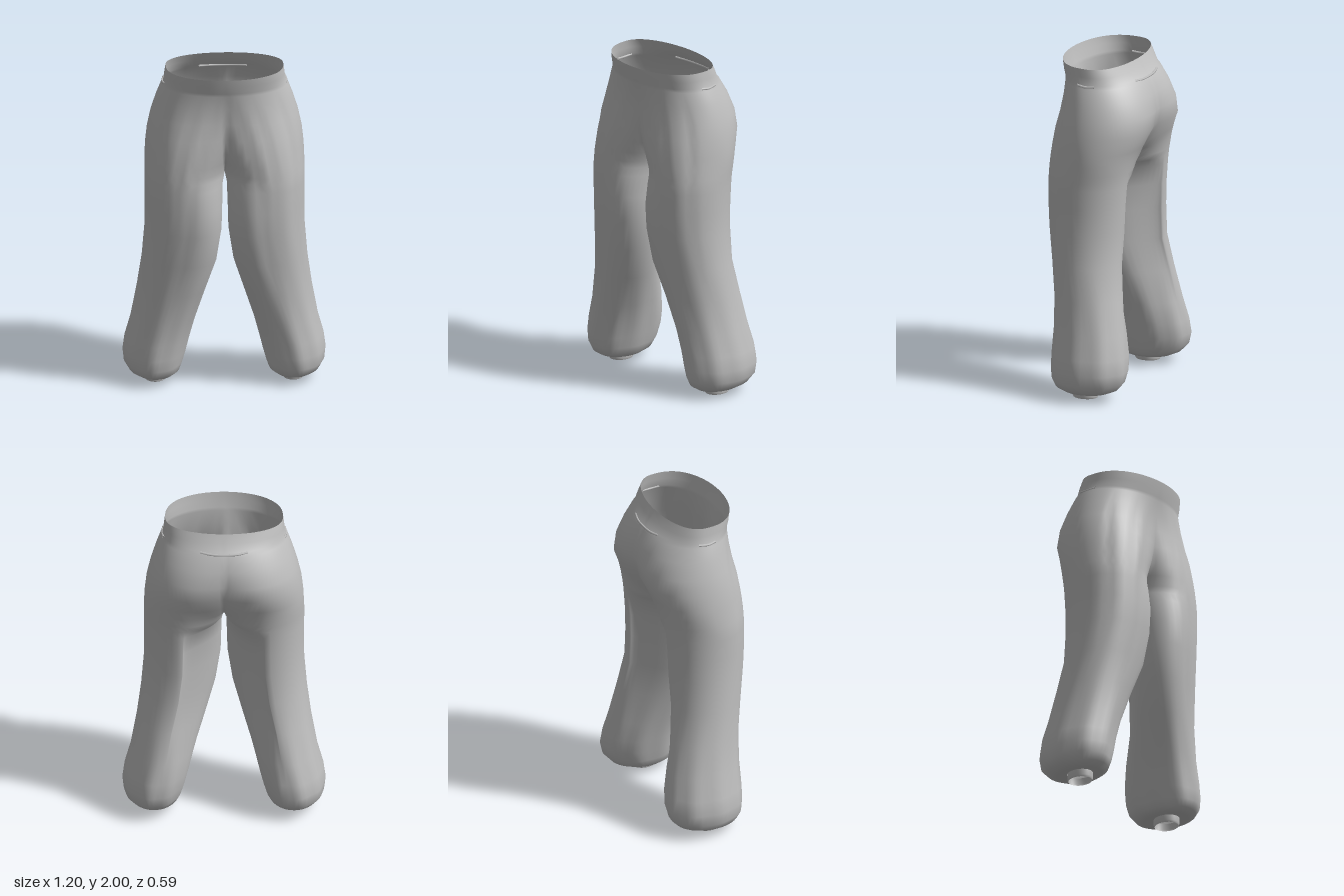
import * as THREE from 'three';
import { mergeVertices } from 'three/addons/utils/BufferGeometryUtils.js';

const SEGMENTS = 44;

// Cross-sections: [y, outer x, inner x, front z, back z, z of widest point].
// A negative inner x means that the two halves overlap and meet on the centre seam.
const BODY = [
  [2.0, 0.347, -0.347, 0.285, -0.155, 0.03],
  [1.95, 0.354, -0.35, 0.275, -0.18, 0.02],
  [1.905, 0.36, -0.345, 0.263, -0.212, 0.02],
  [1.885, 0.374, -0.33, 0.257, -0.232, 0.02],
  [1.8, 0.405, -0.24, 0.25, -0.27, 0.01],
  [1.7, 0.435, -0.17, 0.256, -0.295, 0],
  [1.6, 0.456, -0.11, 0.274, -0.29, 0],
  [1.5, 0.467, -0.06, 0.285, -0.246, 0],
  [1.43, 0.47, -0.025, 0.29, -0.224, 0.01],
  [1.37, 0.472, -0.006, 0.292, -0.212, 0.03],
  [1.33, 0.472, 0, 0.293, -0.205, 0.04],
  [1.28, 0.472, 0.012, 0.294, -0.198, 0.05],
  [1.15, 0.47, 0.016, 0.294, -0.188, 0.05],
  [1.0, 0.472, 0.02, 0.285, -0.183, 0.05],
  [0.8, 0.488, 0.05, 0.255, -0.178, 0.04],
  [0.6, 0.515, 0.11, 0.225, -0.208, 0],
  [0.4, 0.55, 0.17, 0.21, -0.245, -0.02],
  [0.27, 0.585, 0.203, 0.207, -0.268, -0.03],
  [0.18, 0.597, 0.225, 0.205, -0.275, -0.03],
  [0.11, 0.59, 0.245, 0.198, -0.258, -0.03],
  [0.065, 0.562, 0.262, 0.175, -0.215, -0.02],
  [0.04, 0.52, 0.295, 0.135, -0.16, -0.01],
  [0.045, 0.475, 0.34, 0.075, -0.09, -0.007],
];
const CUFF = [
  [0.05, 0.473, 0.34, 0.073, -0.088, -0.007],
  [0.012, 0.473, 0.34, 0.073, -0.088, -0.007],
  [0.0, 0.468, 0.345, 0.068, -0.082, -0.007],
];

const { smoothstep, lerp } = THREE.MathUtils;
const bump = (v, centre, width) => Math.exp(-(((v - centre) / width) ** 2));
const pow = (v, e) => Math.sign(v) * Math.abs(v) ** e;

// Pressed pleats on the thighs and gathers above the ankles
function fold(t, y) {
  let f = 0;
  const thigh = smoothstep(y, 0.7, 1.1) * (1 - smoothstep(y, 1.65, 1.85));
  for (const a of [0.75, 1.35, 1.75]) f -= 0.03 * thigh * bump(t, a, 0.09);
  const shin = smoothstep(y, 0.05, 0.15) * (1 - smoothstep(y, 0.3, 0.75));
  f += 0.02 * shin * (Math.sin(t * 9 + 1) - 0.6);
  return f;
}

// One point on a half ring; u runs from the back seam around the outside to the front seam
function ringPoint([y, outer, inner, front, back, zc], u) {
  const cx = (outer + inner) / 2;
  const w = (outer - inner) / 2;
  const meets = inner <= 0;
  const cut = meets ? Math.acos(-Math.min(1, cx / w)) : Math.PI;
  const t = (2 * u - 1) * cut;
  const k = 1 + fold(t, y);
  const atEnd = u === 0 || u === 1;
  const c = Math.cos(t), s = Math.sin(t);
  let ex = 1;
  let ez = lerp(1, 0.82, smoothstep(y, 1.86, 1.95)); // squarer waist opening
  let lean = 0;
  if (c < 0) {
    // Full seat between the halves; inner back of each thigh cut away
    ez = lerp(1, s < 0 ? 0.5 : 0.75, smoothstep(y, 1.33, 1.45));
    const thigh = smoothstep(y, 0.25, 0.8) * (1 - smoothstep(y, 1.2, 1.36));
    if (s < 0 && !meets) ex += 1.2 * thigh;
    lean = -0.06 * thigh * c;
  }
  const x = atEnd && meets ? 0 : Math.max(0, cx + w * k * pow(c, ex));
  const d = atEnd && !meets ? 0 : pow(s, ez);
  return [x, y, zc + lean + k * d * (d > 0 ? front - zc : zc - back)];
}

// Loft both mirrored halves and weld them along the seam
function loft(rows) {
  const pos = [], index = [];
  for (const side of [1, -1]) {
    const base = pos.length / 3;
    for (const row of rows)
      for (let j = 0; j <= SEGMENTS; j++) {
        const [x, y, z] = ringPoint(row, j / SEGMENTS);
        pos.push(side * x, y, z);
      }
    for (let i = 0; i < rows.length - 1; i++)
      for (let j = 0; j < SEGMENTS; j++) {
        const a = base + i * (SEGMENTS + 1) + j, b = a + 1;
        const c = a + SEGMENTS + 1, d = c + 1;
        if (side > 0) index.push(a, b, c, b, d, c);
        else index.push(a, c, b, b, c, d);
      }
  }
  let geo = new THREE.BufferGeometry();
  geo.setAttribute('position', new THREE.Float32BufferAttribute(pos, 3));
  geo.setIndex(index);
  geo = mergeVertices(geo, 1e-5);
  geo.computeVertexNormals();
  return geo;
}

export function createModel() {
  const group = new THREE.Group();
  group.name = 'trousers';
  const cloth = new THREE.MeshStandardMaterial({ color: 0xbebebe, side: THREE.DoubleSide });
  cloth.name = 'grey cloth';

  for (const [name, rows] of Object.entries({ seatAndLegs: BODY, ankleCuffs: CUFF })) {
    const mesh = new THREE.Mesh(loft(rows), cloth);
    mesh.name = name;
    group.add(mesh);
  }

  // Small gathered folds below the waist: one at the back, one on each hip
  const tuck = (name, points) => {
    const curve = new THREE.CatmullRomCurve3(points.map((p) => new THREE.Vector3(...p)));
    const mesh = new THREE.Mesh(new THREE.TubeGeometry(curve, 12, 0.008, 6), cloth);
    mesh.name = name;
    group.add(mesh);
  };
  tuck('backTuck', [[-0.14, 1.9, -0.197], [-0.07, 1.895, -0.216], [0.07, 1.895, -0.216], [0.14, 1.9, -0.197]]);
  for (const s of [1, -1])
    tuck('hipTuck', [[s * 0.356, 1.9, 0.07], [s * 0.364, 1.895, 0.02], [s * 0.356, 1.9, -0.04]]);

  return group;
}
